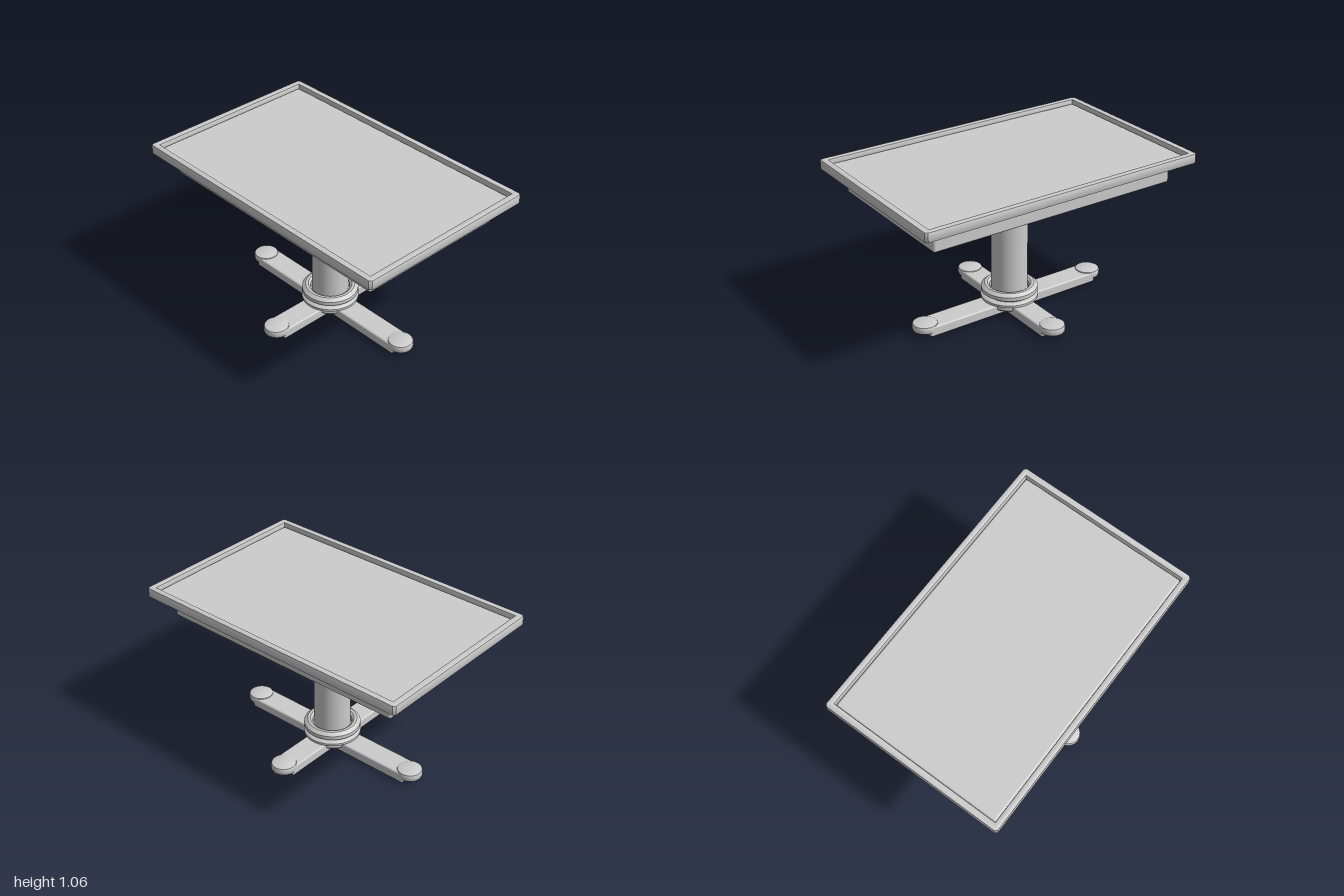
import * as THREE from 'three';
import { toCreasedNormals } from 'three/addons/utils/BufferGeometryUtils.js';
import { RoundedBoxGeometry } from 'three/addons/geometries/RoundedBoxGeometry.js';

export function createModel() {
  const model = new THREE.Group();
  const grey = new THREE.MeshStandardMaterial({ color: 0xcccccc });
  grey.name = 'light grey';

  const add = (name, geometry, x = 0, y = 0, z = 0) => {
    const mesh = new THREE.Mesh(geometry, grey);
    mesh.name = name;
    mesh.position.set(x, y, z);
    model.add(mesh);
    return mesh;
  };

  // Softly bevelled block between two heights
  const block = (name, width, depth, bottom, top, bevel) =>
    add(name, new RoundedBoxGeometry(width, top - bottom, depth, 3, bevel), 0, (bottom + top) / 2, 0);

  // Turned part: profile runs bottom to top along the outside
  const turned = (profile) => toCreasedNormals(
    new THREE.LatheGeometry(profile.map(([r, y]) => new THREE.Vector2(r, y)), 48), 0.5);

  // Rectangle with cut corners, as a path
  const cutRect = (Kind, hx, hz, c) => new Kind([
    [hx - c, -hz], [hx, -hz + c], [hx, hz - c], [hx - c, hz],
    [-hx + c, hz], [-hx, hz - c], [-hx, -hz + c], [-hx + c, -hz],
  ].map(([x, y]) => new THREE.Vector2(x, y)));

  // Raised rim around the top
  const rimShape = cutRect(THREE.Shape, 0.992, 0.632, 0.01);
  rimShape.holes.push(cutRect(THREE.Path, 0.963, 0.606, 0.004));
  const rim = new THREE.ExtrudeGeometry(rimShape, {
    depth: 0.05, bevelEnabled: true, bevelSize: 0.008, bevelThickness: 0.008, bevelSegments: 2,
  });
  rim.rotateX(-Math.PI / 2);
  add('tableRim', toCreasedNormals(rim, 0.5), 0, 1.002, 0);

  // Recessed top panel and the apron beneath it
  block('topPanel', 1.906, 1.19, 0.97, 1.033, 0.015);
  block('apron', 1.76, 1.04, 0.85, 0.967, 0.015);

  // Column with a ring at each end
  add('column', new THREE.CylinderGeometry(0.12, 0.12, 0.77, 48), 0, 0.475, 0);
  const ring = turned([
    [0.13, -0.018], [0.145, -0.031], [0.163, -0.031], [0.187, -0.014],
    [0.187, 0.012], [0.163, 0.031], [0.145, 0.031], [0.13, 0.018], [0.13, -0.018],
  ]);
  add('upperRing', ring, 0, 0.821, 0);
  add('lowerRing', ring, 0, 0.134, 0);

  // Hub over the crossing legs
  add('hub', turned([
    [0, 0.03], [0.16, 0.03], [0.17, 0.04], [0.17, 0.07], [0.19, 0.073],
    [0.19, 0.088], [0.175, 0.098], [0, 0.098],
  ]));

  // Crossed legs
  block('longLeg', 1.31, 0.16, 0, 0.07, 0.012);
  block('shortLeg', 0.16, 0.95, 0, 0.07, 0.012);

  // Round foot pads at the leg ends
  const foot = turned([
    [0, 0.025], [0.068, 0.025], [0.079, 0.03], [0.083, 0.04],
    [0.083, 0.065], [0.079, 0.075], [0.068, 0.08], [0, 0.08],
  ]);
  for (const s of [-1, 1]) {
    add('sideFoot', foot, s * 0.652, 0, 0);
    add('endFoot', foot, 0, 0, s * 0.476);
  }
  return model;
}
